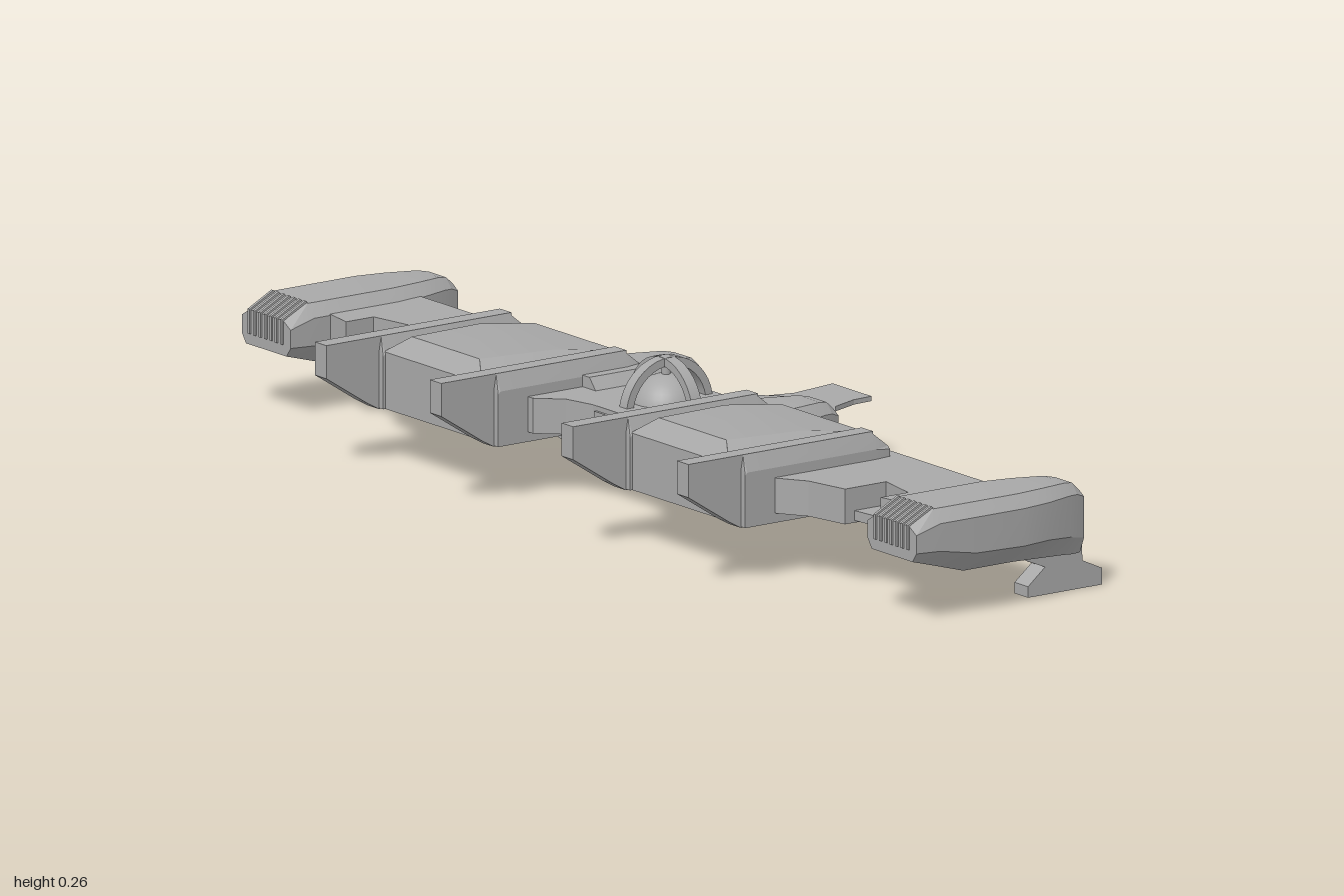
import * as THREE from 'three';
import { toCreasedNormals } from 'three/addons/utils/BufferGeometryUtils.js';

const hull = new THREE.MeshStandardMaterial({ color: 0xa8a8a8 });
hull.name = 'hull grey';

function add(parent, name, geometry) {
  const mesh = new THREE.Mesh(geometry, hull);
  mesh.name = name;
  parent.add(mesh);
  return mesh;
}

// Upright plate from a [z, y] profile, centred on x
function sidePlate(profile, thickness, x) {
  const shape = new THREE.Shape(profile.map(([z, y]) => new THREE.Vector2(-z, y)));
  const g = new THREE.ExtrudeGeometry(shape, { depth: thickness, bevelEnabled: false });
  return g.rotateY(Math.PI / 2).translate(x - thickness / 2, 0, 0);
}

// Flat plate from an [x, z] outline between two heights
function flatPlate(outline, y0, y1) {
  const shape = new THREE.Shape(outline.map(([x, z]) => new THREE.Vector2(x, -z)));
  const g = new THREE.ExtrudeGeometry(shape, { depth: y1 - y0, bevelEnabled: false });
  return g.rotateX(-Math.PI / 2).translate(0, y0, 0);
}

// Closed skin through eight-sided cross-sections, listed front to back:
// [z, topHalf, topY, sideHalf, shoulderY, lowerY, bottomHalf, bottomY]
function loft(sections, cx, crease = 0.3) {
  const pos = [], idx = [], n = 8, last = (sections.length - 1) * n;
  for (const [z, t, ty, w, sy, ly, b, by] of sections) {
    const half = [[t, ty], [w, sy], [w, ly], [b, by]];
    const ring = [...half, ...half.slice().reverse().map(([x, y]) => [-x, y])];
    for (const [x, y] of ring) pos.push(cx + x, y, z);
  }
  for (let s = 0; s < last; s += n) {
    for (let i = 0; i < n; i++) {
      const a = s + i, b = s + (i + 1) % n;
      idx.push(a, b, a + n, b, b + n, a + n);
    }
  }
  for (let i = 1; i < n - 1; i++) {
    idx.push(0, i + 1, i, last, last + i, last + i + 1);
  }
  // Rings run clockwise seen from the front, so turn every face outward
  for (let i = 0; i < idx.length; i += 3) [idx[i + 1], idx[i + 2]] = [idx[i + 2], idx[i + 1]];
  const g = new THREE.BufferGeometry();
  g.setAttribute('position', new THREE.Float32BufferAttribute(pos, 3));
  g.setIndex(idx);
  if (signedVolume(pos, idx) < 0) g.setIndex(idx.slice().reverse());
  return toCreasedNormals(g, crease);
}

function signedVolume(pos, idx) {
  const p = [0, 1, 2].map(() => new THREE.Vector3());
  let v = 0;
  for (let i = 0; i < idx.length; i += 3) {
    p.forEach((q, k) => q.fromArray(pos, idx[i + k] * 3));
    v += p[0].dot(p[1].clone().cross(p[2]));
  }
  return v;
}

const podFront = [
  [0.235, 0.05, 0.178, 0.072, 0.165, 0.132, 0.06, 0.115],
  [0.185, 0.055, 0.203, 0.075, 0.18, 0.13, 0.052, 0.1],
  [0.105, 0.055, 0.203, 0.075, 0.18, 0.115, 0.035, 0.075],
];
const podRear = [
  [0, 0.055, 0.203, 0.075, 0.18, 0.112, 0.035, 0.075],
  [-0.06, 0.046, 0.202, 0.066, 0.18, 0.112, 0.032, 0.072],
  [-0.12, 0.032, 0.2, 0.049, 0.18, 0.105, 0.026, 0.068],
  [-0.14, 0.025, 0.196, 0.042, 0.178, 0.1, 0.024, 0.066],
  [-0.16, 0.018, 0.18, 0.034, 0.17, 0.095, 0.022, 0.066],
];
const legProfile = [
  [-0.015, 0.08], [-0.085, 0.05], [-0.048, 0.02], [-0.048, 0], [-0.21, 0],
  [-0.21, 0.03], [-0.167, 0.05], [-0.165, 0.1], [-0.05, 0.1],
];
const railProfile = [
  [0.405, 0.23], [0.405, 0.17], [0.315, 0.112], [0.29, 0.098], [0, 0.1], [0, 0.23],
];

function buildPod(parent, name, x, sections) {
  const pod = new THREE.Group();
  pod.name = name;
  add(pod, 'podShell', loft(sections, x));
  add(pod, 'landingLeg', sidePlate(legProfile, 0.04, x));
  add(pod, 'tailPost', new THREE.BoxGeometry(0.03, 0.1, 0.02).translate(x, 0.12, -0.155));
  parent.add(pod);
  return pod;
}

export function createModel() {
  const model = new THREE.Group();
  model.name = 'aircraft';

  for (const s of [1, -1]) {
    const side = new THREE.Group();
    side.name = s > 0 ? 'leftSide' : 'rightSide';
    model.add(side);

    // Broad hull block with a sloping front
    add(side, 'mainHull', loft([
      [0.285, 0.145, 0.203, 0.147, 0.2, 0.11, 0.147, 0.1],
      [0.257, 0.1, 0.235, 0.147, 0.205, 0.11, 0.147, 0.1],
      [0.1, 0.115, 0.232, 0.147, 0.21, 0.11, 0.147, 0.1],
      [-0.03, 0.125, 0.212, 0.147, 0.203, 0.11, 0.147, 0.1],
    ], s * 0.365));

    // Rails on both flanks of the hull block
    for (const x of [0.195, 0.535]) {
      add(side, 'rail', sidePlate(railProfile, 0.034, s * x));
      add(side, 'railCasing', loft([
        [0.29, 0.026, 0.2, 0.03, 0.195, 0.11, 0.03, 0.1],
        [0.285, 0.017, 0.229, 0.03, 0.2, 0.11, 0.03, 0.1],
        [0.005, 0.017, 0.229, 0.03, 0.2, 0.11, 0.03, 0.1],
        [-0.03, 0.02, 0.2, 0.026, 0.195, 0.11, 0.026, 0.1],
      ], s * x));
    }

    // Outer wing with a notch in its front edge
    const wing = [
      [0.53, -0.055], [0.53, 0.225], [0.57, 0.225], [0.62, 0.192], [0.705, 0.175],
      [0.705, 0.085], [0.79, 0.1], [0.79, 0.16], [0.88, 0.145], [0.88, -0.055],
    ];
    add(side, 'outerWing', flatPlate(wing.map(([x, z]) => [s * x, z]), 0.118, 0.182));
    const lip = [[0.7, 0.08], [0.7, 0.155], [0.795, 0.145], [0.795, 0.09]];
    add(side, 'notchFloor', flatPlate(lip.map(([x, z]) => [s * x, z]), 0.122, 0.14));

    // Wing tip pod with a ribbed nose, and the shorter inner pod
    const tip = buildPod(side, 'tipPod', s * 0.925, [...podFront, ...podRear]);
    for (let i = -3; i <= 3; i++) {
      add(tip, 'noseRib', sidePlate(
        [[0.238, 0.135], [0.238, 0.18], [0.186, 0.207], [0.18, 0.2], [0.22, 0.135]],
        0.006, s * 0.925 + i * 0.016));
    }
    buildPod(side, 'innerPod', s * 0.2, [podFront[2], ...podRear]);
  }

  // Centre wing joining both sides
  const edge = [[0.18, -0.06], [0.18, 0.225], [0.15, 0.225], [0.11, 0.182], [0.05, 0.168]];
  const mirrored = edge.map(([x, z]) => [-x, z]).reverse();
  add(model, 'centreWing', flatPlate([...edge, ...mirrored], 0.118, 0.182));
  add(model, 'frontPanel', new THREE.BoxGeometry(0.08, 0.05, 0.02).translate(0, 0.148, 0.163));

  // Ball turret inside two crossed rings
  const turret = new THREE.Group();
  turret.name = 'turret';
  turret.position.set(0, 0.167, 0.045);
  add(turret, 'ball', new THREE.SphereGeometry(0.064, 32, 20));
  const band = [[0.08, -0.011], [0.095, -0.011], [0.095, 0.011], [0.08, 0.011], [0.08, -0.011]]
    .map(([r, h]) => new THREE.Vector2(r, h));
  const ring = toCreasedNormals(new THREE.LatheGeometry(band, 40), 0.5);
  add(turret, 'crossRing', ring.clone().rotateX(Math.PI / 2));
  add(turret, 'lengthRing', ring.clone().rotateZ(Math.PI / 2));
  add(turret, 'axle', new THREE.CylinderGeometry(0.008, 0.008, 0.18, 12));
  model.add(turret);

  // Lopsided tail plate, thick at the root and thin at the tip
  add(model, 'tailPlate', flatPlate([
    [-0.115, -0.405], [0, -0.405], [0.002, -0.365], [0.022, -0.31], [0.1, -0.25],
    [0.1, -0.09], [0.13, -0.04], [-0.14, -0.04], [-0.14, -0.2], [-0.115, -0.255], [-0.1, -0.31],
  ], 0.113, 0.122));
  add(model, 'tailRoot', loft([
    [-0.04, 0.05, 0.14, 0.07, 0.13, 0.108, 0.05, 0.1],
    [-0.2, 0.04, 0.138, 0.06, 0.128, 0.108, 0.04, 0.1],
    [-0.3, 0.02, 0.124, 0.03, 0.121, 0.114, 0.02, 0.112],
  ], -0.045));
  add(model, 'tailBlock', new THREE.BoxGeometry(0.04, 0.04, 0.085).translate(0, 0.122, -0.163));

  return model;
}
